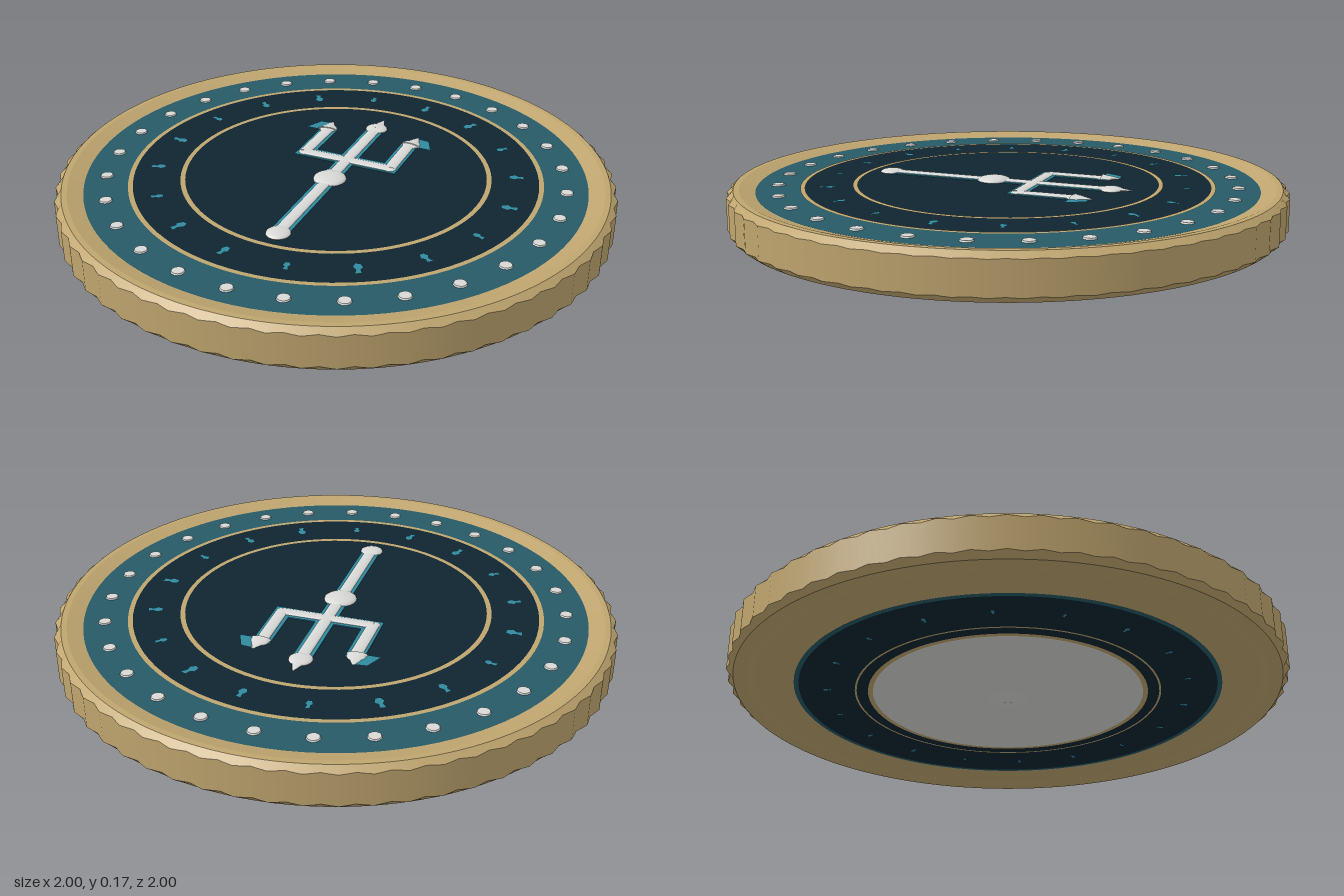
import * as THREE from 'three';

const mat = (name, color, opt = {}) => {
  const m = new THREE.MeshStandardMaterial({ color, ...opt });
  m.name = name;
  return m;
};

export function createModel() {
  const gold = mat('gold', 0xbfa56f);
  const navy = mat('navy', 0x0f2531);
  const teal = mat('deep teal', 0x265a67);
  const aqua = mat('aqua', 0x2f8a9e);
  const silver = mat('silver', 0xd8d8d6);

  const root = new THREE.Group();
  root.name = 'medallion';
  const add = (name, geo, material, parent = root, x = 0, y = 0, z = 0) => {
    const mesh = new THREE.Mesh(geo, material);
    mesh.name = name;
    mesh.position.set(x, y, z);
    parent.add(mesh);
    return mesh;
  };
  const lathe = (pts, seg = 96) =>
    new THREE.LatheGeometry(pts.map(([r, y]) => new THREE.Vector2(r, y)), seg);
  // flat annulus facing up (dir 1) or down (dir -1)
  const band = (name, rIn, rOut, y, material, dir = 1) => {
    const geo = rIn > 0 ? new THREE.RingGeometry(rIn, rOut, 96) : new THREE.CircleGeometry(rOut, 96);
    geo.rotateX(-dir * Math.PI / 2);
    return add(name, geo, material, root, 0, y, 0);
  };

  // gold body: each band is its own lathe so the chamfers stay crisp
  const profile = [[0, 0.018], [0.9, 0.018], [0.93, 0.01], [0.975, 0.01], [1, 0.03],
    [1, 0.145], [0.975, 0.165], [0.955, 0.165], [0.9, 0.149], [0, 0.148]];
  const body = new THREE.Group();
  body.name = 'body';
  root.add(body);
  for (let i = 0; i < profile.length - 1; i++) {
    const geo = lathe([profile[i], profile[i + 1]], 240);
    const p = geo.attributes.position;
    for (let k = 0; k < p.count; k++) { // gently scalloped outer edge
      const x = p.getX(k), z = p.getZ(k);
      if (Math.hypot(x, z) < 0.99) continue;
      const s = 1 - 0.006 * (1 - Math.cos(60 * Math.atan2(x, z)));
      p.setXYZ(k, x * s, p.getY(k), z * s);
    }
    add('bodyBand' + i, geo, gold, body);
  }

  // top face
  band('tealBorder', 0.73, 0.9, 0.15, teal);
  band('navyField', 0, 0.735, 0.1505, navy);
  band('outerGoldLine', 0.728, 0.745, 0.152, gold);
  band('innerGoldLine', 0.543, 0.56, 0.152, gold);

  // underside
  band('lowerTealBorder', 0.7, 0.767, 0.016, teal, -1);
  band('lowerNavyField', 0, 0.75, 0.015, navy, -1);
  band('lowerGoldLine', 0.545, 0.552, 0.0135, gold, -1);
  band('lowerGoldRing', 0.47, 0.505, 0.013, gold, -1);
  add('lowerSilverPlate', lathe([[0, 0], [0.025, 0.001], [0.04, 0.006], [0.13, 0.008],
    [0.2, 0.006], [0.3, 0.008], [0.485, 0.011], [0.488, 0.014]]), silver);

  // silver studs round the border
  const stud = new THREE.CylinderGeometry(0.021, 0.024, 0.006, 12);
  for (let i = 0; i < 28; i++) {
    const a = (i / 28) * Math.PI * 2;
    add('stud', stud, silver, root, 0.825 * Math.sin(a), 0.152, 0.825 * Math.cos(a));
  }

  // small irregular radial marks
  const markShape = (k) => {
    const s = new THREE.Shape([
      [-0.012, -0.028], [0.008, -0.026], [0.006, -0.006], [0.017, 0.004],
      [0.01, 0.026], [-0.006, 0.028], [-0.015, 0.01], [-0.006, -0.006],
    ].map(([x, y]) => new THREE.Vector2(x * (k % 2 ? 1 : -1), y)));
    return new THREE.ShapeGeometry(s);
  };
  for (let i = 0; i < 18; i++) {
    const a = (i / 18) * Math.PI * 2 + Math.PI / 2;
    const scale = [1, 0.75, 0.9][(i * 2) % 3];
    for (const dir of [1, -1]) {
      const geo = markShape(i).rotateX(-dir * Math.PI / 2);
      const mark = add(dir > 0 ? 'mark' : 'lowerMark', geo, aqua, root,
        0.65 * Math.sin(a), dir > 0 ? 0.152 : 0.0135, 0.65 * Math.cos(a));
      mark.rotation.y = a;
      mark.scale.setScalar(dir > 0 ? scale : scale * 0.5);
    }
  }

  // aqua backing behind the trident
  const backing = new THREE.Group();
  backing.name = 'tridentBacking';
  root.add(backing);
  const plate = (x0, x1, z0, z1) => add('backingPlate',
    new THREE.BoxGeometry(x1 - x0, 0.004, z1 - z0), aqua, backing, (x0 + x1) / 2, 0.1515, (z0 + z1) / 2);
  plate(-0.034, 0.034, -0.38, 0.46);
  plate(-0.2, 0.2, -0.135, -0.07);
  for (const s of [-1, 1]) {
    plate(Math.min(s * 0.135, s * 0.2), Math.max(s * 0.135, s * 0.2), -0.33, -0.07);
    const pts = [[0.14, 0.3], [0.255, 0.3], [0.225, 0.365], [0.17, 0.37]]
      .map(([x, y]) => new THREE.Vector2(s * x, y));
    add('barb', new THREE.ShapeGeometry(new THREE.Shape(pts)).rotateX(-Math.PI / 2),
      aqua, backing, 0, 0.1537, 0);
  }

  // silver trident in low relief
  const trident = new THREE.Group();
  trident.name = 'trident';
  trident.position.y = 0.152;
  trident.scale.y = 0.27;
  root.add(trident);
  const rod = (name, x0, z0, x1, z1, r0, r1 = r0) => {
    const d = new THREE.Vector3(x1 - x0, 0, z1 - z0);
    const mesh = add(name, new THREE.CylinderGeometry(r1, r0, d.length(), 14), silver, trident,
      (x0 + x1) / 2, 0.006, (z0 + z1) / 2);
    mesh.quaternion.setFromUnitVectors(new THREE.Vector3(0, 1, 0), d.normalize());
  };
  const ball = (name, x, z, r) =>
    add(name, new THREE.SphereGeometry(r, 20, 14), silver, trident, x, 0, z);
  rod('shaft', 0, 0.47, 0, -0.38, 0.022);
  rod('crossbar', -0.17, -0.1, 0.17, -0.1, 0.022);
  rod('centreTip', 0, -0.38, 0, -0.47, 0.036, 0.002);
  ball('centreTipBase', 0, -0.39, 0.042);
  ball('hub', 0, 0.055, 0.06);
  ball('pommel', 0, 0.47, 0.043);
  for (const s of [-1, 1]) {
    ball('corner', s * 0.17, -0.1, 0.024);
    rod('prong', s * 0.17, -0.1, s * 0.168, -0.31, 0.022);
    ball('prongTipBase', s * 0.172, -0.315, 0.034);
    rod('prongTip', s * 0.172, -0.305, s * 0.178, -0.375, 0.038, 0.004);
  }
  return root;
}
